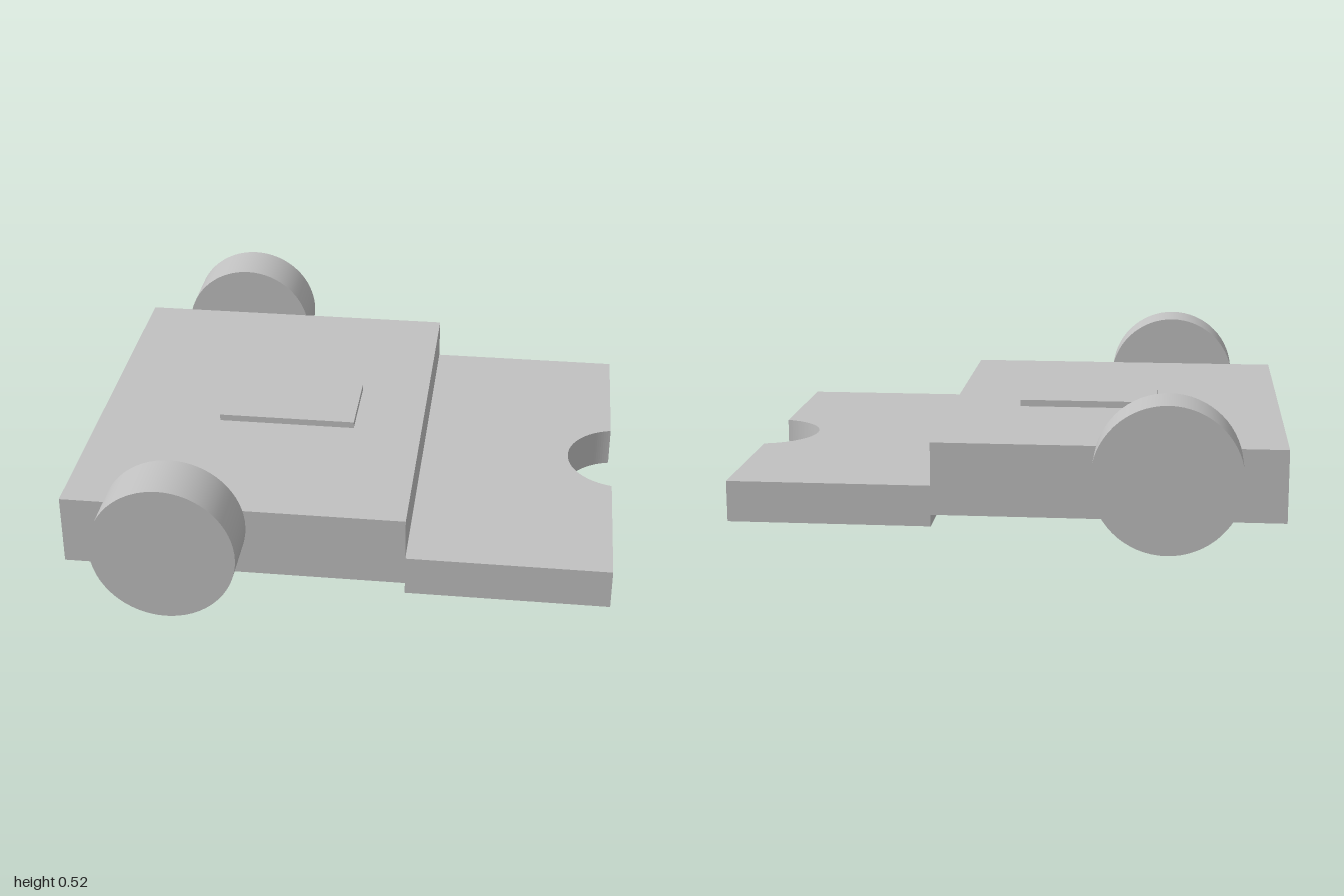
import * as THREE from 'three';

export function createModel() {
  const model = new THREE.Group();
  const grey = new THREE.MeshStandardMaterial({ color: 0xc0c0c0 });
  grey.name = 'plain grey';

  const add = (name, geometry, x, y, z) => {
    const mesh = new THREE.Mesh(geometry, grey);
    mesh.name = name;
    mesh.position.set(x, y, z);
    model.add(mesh);
    return mesh;
  };

  // Main body slab and the small raised panel on top
  add('body', new THREE.BoxGeometry(1.26, 0.265, 1.58), -0.37, 0.1975, 0);
  add('topPanel', new THREE.BoxGeometry(0.525, 0.025, 0.315), -0.265, 0.3425, 0);

  // Lower front plate with a round notch in its outer edge
  const halfWidth = 0.79, notchRadius = 0.215, notchX = 1.045;
  const angle = Math.acos((1 - notchX) / notchRadius);
  const outline = new THREE.Shape();
  outline.moveTo(0.26, -halfWidth);
  outline.lineTo(1, -halfWidth);
  outline.absarc(notchX, 0, notchRadius, 2 * Math.PI - angle, angle, true);
  outline.lineTo(1, halfWidth);
  outline.lineTo(0.26, halfWidth);
  outline.closePath();
  const plate = new THREE.ExtrudeGeometry(outline, { depth: 0.15, bevelEnabled: false, curveSegments: 32 });
  plate.rotateX(-Math.PI / 2);
  add('notchedPlate', plate, 0, 0.022, 0);

  // One wheel on each side
  const wheel = new THREE.CylinderGeometry(0.262, 0.262, 0.21, 64);
  wheel.rotateX(Math.PI / 2);
  for (const side of [-1, 1]) {
    add(side > 0 ? 'frontWheel' : 'backWheel', wheel, -0.58, 0.262, side * 0.895);
  }

  return model;
}
